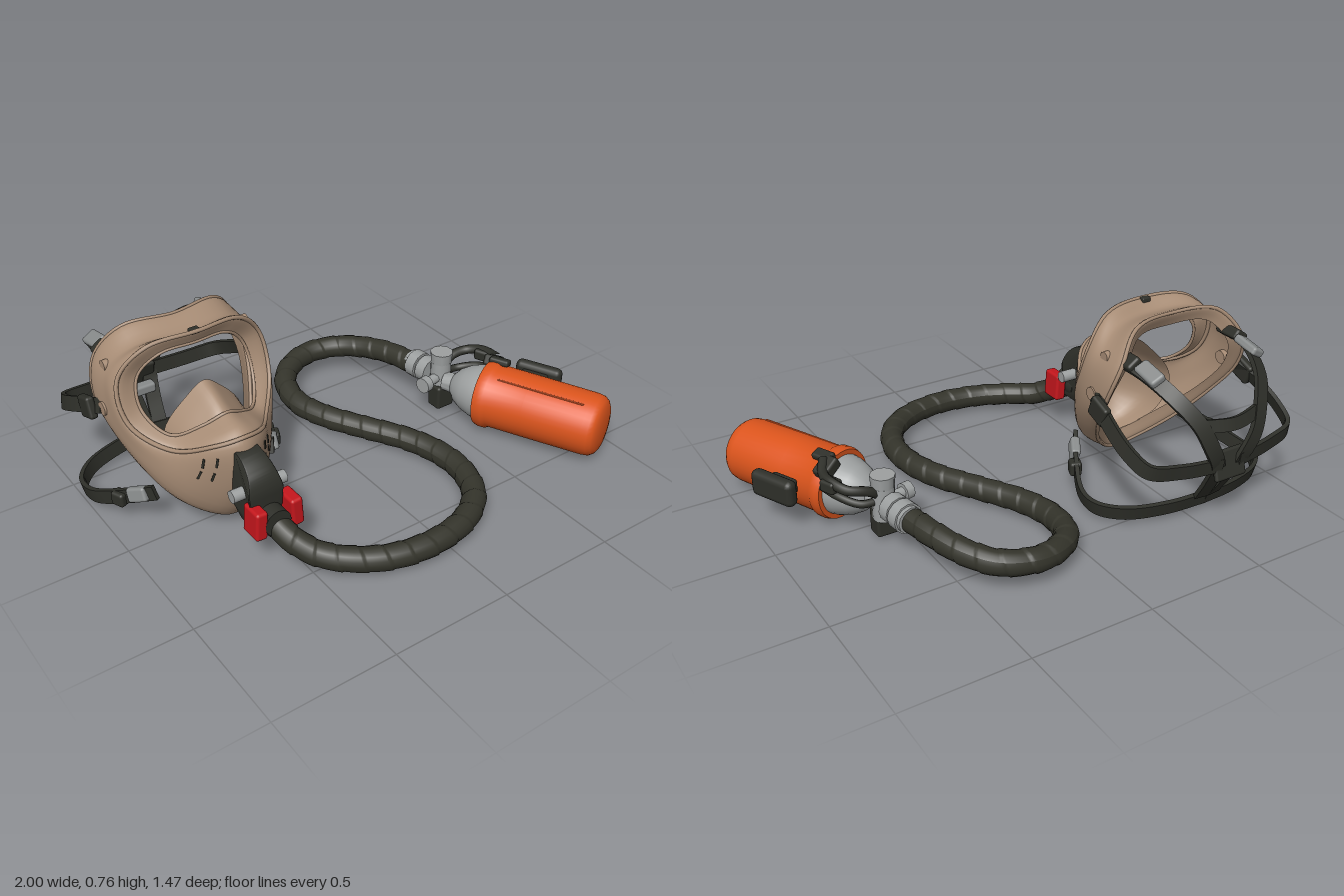
import * as THREE from 'three';
import { toCreasedNormals } from 'three/addons/utils/BufferGeometryUtils.js';
import { RoundedBoxGeometry } from 'three/addons/geometries/RoundedBoxGeometry.js';

const V = (x, y, z) => new THREE.Vector3(x, y, z);
const mat = (name, color, side = THREE.FrontSide) => {
  const m = new THREE.MeshStandardMaterial({ color, side });
  m.name = name;
  return m;
};

export function createModel() {
  const tan = mat('tan rubber', 0xa78c75, THREE.DoubleSide);
  const dark = mat('black plastic', 0x2e2f29);
  const hoseMat = mat('olive black hose', 0x34342b);
  const grey = mat('grey metal', 0x9da0a0);
  const clipGrey = mat('dark grey clip', 0x888b8b);
  const red = mat('red plastic', 0xc4161c);
  const orange = mat('orange bottle', 0xdb541c, THREE.DoubleSide);

  const model = new THREE.Group();
  const add = (parent, name, geo, material, x = 0, y = 0, z = 0) => {
    const m = new THREE.Mesh(geo, material);
    m.name = name;
    m.position.set(x, y, z);
    parent.add(m);
    return m;
  };
  const box = (w, h, d, r = 0.012) => new RoundedBoxGeometry(w, h, d, 2, r);
  const tube = (pts, r) => new THREE.TubeGeometry(new THREE.CatmullRomCurve3(pts), 40, r, 8);
  const cylX = (r, l, n = 16) => new THREE.CylinderGeometry(r, r, l, n).rotateZ(Math.PI / 2);
  const cylZ = (r, l, n = 16) => new THREE.CylinderGeometry(r, r, l, n).rotateX(Math.PI / 2);

  // Closed loop from half a contour listed from top to bottom
  const mirrorLoop = half => {
    const pts = half.map(p => V(...p));
    const other = half.slice(1, -1).reverse().map(p => V(-p[0], p[1], p[2]));
    return new THREE.CatmullRomCurve3([...pts, ...other], true);
  };

  // Smooth skin through a series of loops
  const loft = (halves, nu, nv) => {
    const loops = halves.map(mirrorLoop);
    const at = (u, v) => new THREE.CatmullRomCurve3(loops.map(l => l.getPoint(v))).getPoint(u);
    const pos = [], idx = [];
    for (let j = 0; j < nv; j++) {
      const across = new THREE.CatmullRomCurve3(loops.map(l => l.getPoint(j / nv)));
      for (let i = 0; i <= nu; i++) pos.push(...across.getPoint(i / nu).toArray());
    }
    const w = nu + 1;
    for (let j = 0; j < nv; j++) for (let i = 0; i < nu; i++) {
      const a = j * w + i, b = ((j + 1) % nv) * w + i;
      idx.push(a, a + 1, b, a + 1, b + 1, b);
    }
    const geo = new THREE.BufferGeometry();
    geo.setAttribute('position', new THREE.Float32BufferAttribute(pos, 3));
    geo.setIndex(idx);
    geo.computeVertexNormals();
    return { geo, at, loops };
  };

  // Flat webbing that wraps around the head centre
  const strap = (pts, width, centre = V(0, 0.33, -0.35), thick = 0.018) => {
    const curve = new THREE.CatmullRomCurve3(pts.map(p => V(...p)));
    const n = 36, pos = [], idx = [];
    for (let i = 0; i <= n; i++) {
      const p = curve.getPoint(i / n), t = curve.getTangent(i / n);
      const out = p.clone().sub(centre);
      out.addScaledVector(t, -out.dot(t)).normalize();
      const side = t.clone().cross(out);
      for (const [a, b] of [[-1, -1], [1, -1], [1, 1], [-1, 1]])
        pos.push(...p.clone().addScaledVector(side, a * width / 2).addScaledVector(out, b * thick / 2).toArray());
      if (i < n) for (let k = 0; k < 4; k++) {
        const a = i * 4 + k, b = i * 4 + (k + 1) % 4;
        idx.push(a, a + 4, b, b, a + 4, b + 4);
      }
    }
    const e = n * 4;
    idx.push(0, 1, 2, 0, 2, 3, e, e + 2, e + 1, e, e + 3, e + 2);
    const geo = new THREE.BufferGeometry();
    geo.setAttribute('position', new THREE.Float32BufferAttribute(pos, 3));
    geo.setIndex(idx);
    return toCreasedNormals(geo, 0.7);
  };

  // ---- Face mask: seal lip, rear edge, two bulges, visor rim, visor opening
  const mask = new THREE.Group();
  mask.name = 'mask';
  mask.position.x = -0.58;
  model.add(mask);
  const shell = loft([
    [[0, .69, -.29], [.17, .69, -.33], [.25, .6, -.37], [.28, .48, -.33], [.24, .34, -.23], [.14, .2, -.1], [0, .09, .0]],
    [[0, .75, -.31], [.2, .74, -.35], [.3, .62, -.4], [.33, .48, -.36], [.29, .33, -.26], [.18, .15, -.12], [0, .02, .0]],
    [[0, .72, -.2], [.2, .71, -.24], [.31, .62, -.28], [.335, .46, -.22], [.285, .29, -.1], [.165, .12, .02], [0, .05, .09]],
    [[0, .752, -.145], [.2, .735, -.18], [.315, .62, -.22], [.32, .46, -.14], [.225, .32, .0], [.11, .3, .14], [0, .28, .2]],
    [[0, .755, -.13], [.2, .735, -.16], [.305, .62, -.19], [.305, .46, -.13], [.205, .38, .0], [.09, .44, .15], [0, .465, .19]],
    [[0, .7, -.15], [.14, .69, -.165], [.225, .61, -.19], [.24, .49, -.15], [.18, .41, -.05], [.08, .46, .03], [0, .5, .06]],
  ], 25, 72);
  add(mask, 'maskShell', shell.geo, tan);
  const bead = (loop, r, name) => add(mask, name, new THREE.TubeGeometry(loop, 96, r, 6, true), tan);
  bead(shell.loops[1], 0.008, 'sealBead');
  bead(shell.loops[4], 0.009, 'visorFrameBead');
  bead(shell.loops[5], 0.007, 'visorInnerBead');
  add(mask, 'browClip', box(.04, .02, .03, .005), dark, 0, .752, -.145);

  // Inner nose cup
  const cup = loft([
    [[0, .56, -.1], [.07, .51, -.11], [.17, .37, -.13], [.14, .2, -.09], [0, .1, -.01]],
    [[0, .53, -.02], [.06, .48, -.01], [.15, .36, -.02], [.13, .2, .02], [0, .11, .05]],
    [[0, .48, .06], [.05, .44, .07], [.1, .34, .07], [.08, .22, .09], [0, .16, .09]],
    [[0, .36, .12], [.02, .34, .12], [.03, .3, .13], [.02, .26, .13], [0, .25, .13]],
  ], 12, 40);
  add(mask, 'noseCup', cup.geo, tan);

  for (const s of [-1, 1]) {
    // Vent slots lying on the cheek
    for (const v of [.39, .415]) for (const u of [.6, .69]) {
      const p = shell.at(u, v);
      const y = shell.at(u + .01, v).sub(p), x = shell.at(u, v + .005).sub(p);
      for (const q of [p, x, y]) q.x *= s;
      y.normalize();
      x.addScaledVector(y, -x.dot(y)).normalize();
      const slot = add(mask, 'ventSlot', new THREE.BoxGeometry(.009, .04, .008), dark);
      slot.quaternion.setFromRotationMatrix(new THREE.Matrix4().makeBasis(x, y, x.clone().cross(y)));
      slot.position.copy(p);
    }
    // Strap bosses
    add(mask, 'strapBoss', cylX(.028, .03), tan, s * .33, .47, -.27);
    add(mask, 'strapBoss', cylX(.022, .04), tan, s * .29, .63, -.3);

    // Harness
    const web = (name, pts, w, c) => add(mask, name, strap(pts.map(p => [p[0] * s, p[1], p[2]]), w, c), dark);
    web('topStrap', [[.27, .635, -.31], [.25, .62, -.48], [.21, .56, -.61], [.15, .47, -.69], [.11, .38, -.72], [.06, .28, -.71], [.04, .18, -.66], [.03, .08, -.6]], .062, V(0, .2, -.35));
    web('sideStrap', [[.335, .47, -.29], [.37, .42, -.42], [.375, .35, -.57], [.345, .31, -.655], [.22, .29, -.69], [.04, .28, -.715]], .06);
    web('lowerStrap', [[0, .06, -.59], [.17, .055, -.57], [.33, .05, -.51], [.405, .05, -.42], [.405, .06, -.32], [.345, .11, -.19], [.26, .17, -.06]], .06, V(0, .14, -.3));
    add(mask, 'sideBuckle', box(.035, .09, .1), dark, s * .365, .44, -.36).rotation.x = -.35;
    add(mask, 'topClip', box(.065, .035, .12), clipGrey, s * .245, .625, -.5).rotation.set(-.2, 0, -s * .5);
    add(mask, 'topBuckle', box(.065, .045, .12), dark, s * .262, .635, -.38).rotation.z = -s * .6;
    add(mask, 'chinClip', box(.04, .06, .09), clipGrey, s * .305, .145, -.12).rotation.set(-.4, s * -.5, 0);
    add(mask, 'chinBuckle', box(.05, .06, .06), dark, s * .35, .105, -.19).rotation.y = s * -.4;
  }
  add(mask, 'rearCrossStrap', strap([[-.15, .46, -.69], [0, .45, -.72], [.15, .46, -.69]], .05), dark);
  add(mask, 'rearHub', box(.15, .12, .022), dark, 0, .27, -.705).rotation.x = .3;
  add(mask, 'rearPatch', box(.1, .045, .05), clipGrey, 0, .23, -.66);

  // ---- Breathing valve on the front of the mask, domed in profile
  const valve = new THREE.Group();
  valve.name = 'breathingValve';
  mask.add(valve);
  const profile = new THREE.Shape();
  profile.moveTo(.18, .2).lineTo(.24, .15).lineTo(.32, .15).lineTo(.322, .28);
  profile.absarc(.19, .28, .132, 0, Math.PI / 2, false);
  const body = new THREE.ExtrudeGeometry(profile, { depth: .13, bevelSize: .006, bevelThickness: .01, bevelSegments: 2, curveSegments: 10 })
    .rotateY(-Math.PI / 2).translate(.065, 0, 0);
  const bp = body.attributes.position;
  for (let i = 0; i < bp.count; i++) {
    const y = bp.getY(i), taper = y > .3 ? 1 - (y - .3) * 3 : 1 - (.3 - y) * 1.3;
    bp.setX(i, bp.getX(i) * taper);
  }
  add(valve, 'valveBody', toCreasedNormals(body, .6), dark);
  add(valve, 'hoseSocket', cylZ(.055, .13), dark, .01, .19, .32);
  add(valve, 'valvePin', cylX(.025, .23), grey, .01, .275, .25);
  for (const s of [-1, 1]) add(valve, 'redLever', box(.05, .12, .1), red, .02 + s * .077, .2, .335).rotation.z = s * .06;

  // ---- Wrapped hose: a helical step in the radius
  const path = new THREE.CatmullRomCurve3([
    [-.57, .18, .33], [-.54, .13, .42], [-.48, .085, .5], [-.38, .07, .59], [-.25, .065, .655], [-.08, .065, .68], [.1, .065, .645],
    [.23, .065, .55], [.295, .065, .4], [.295, .065, .25], [.25, .065, .1], [.15, .065, -.08], [.06, .067, -.25], [.025, .07, -.4],
    [.06, .085, -.55], [.15, .1, -.635], [.27, .11, -.665], [.4, .12, -.62], [.48, .135, -.52], [.53, .15, -.39], [.56, .155, -.24],
  ].map(p => V(...p)));
  const hose = new THREE.TubeGeometry(path, 420, .047, 16);
  const hp = hose.attributes.position, hn = hose.attributes.normal;
  for (let i = 0; i < hp.count; i++) {
    const ring = Math.floor(i / 17), k = (i % 17) / 16;
    const step = (ring / 420 * 34 + k) % 1 * .004;
    hp.setXYZ(i, hp.getX(i) + hn.getX(i) * step, hp.getY(i) + hn.getY(i) * step, hp.getZ(i) + hn.getZ(i) * step);
  }
  hose.computeVertexNormals();
  add(model, 'hose', hose, hoseMat);

  // ---- Air bottle, lying down with its base towards local +z
  const bottle = new THREE.Group();
  bottle.name = 'airBottle';
  bottle.position.set(.67, .15, .13);
  bottle.rotation.y = .427;
  model.add(bottle);
  const lathe = pts => toCreasedNormals(new THREE.LatheGeometry(pts.map(p => new THREE.Vector2(...p)), 36).rotateX(Math.PI / 2), .6);
  add(bottle, 'bottleSleeve', lathe([[.12, -.02], [.142, -.02], [.148, 0], [.147, .025], [.138, .04], [.137, .2], [.134, .46],
    [.13, .487], [.118, .505], [.1, .515], [.06, .522], [0, .524]]), orange);
  add(bottle, 'bottleShoulder', lathe([[0, -.21], [.04, -.21], [.045, -.165], [.075, -.14], [.1, -.1], [.118, -.05], [.125, 0], [.125, .03]]), grey);
  add(bottle, 'sleeveSeam', box(.008, .008, .38, .003), orange, -.06, .122, .25);
  add(bottle, 'sidePad', box(.055, .11, .21, .025), dark, .205, .03, .147);
  add(bottle, 'padBand', box(.045, .06, .12), dark, .165, .03, .14);
  add(bottle, 'collarBuckle', box(.09, .05, .07), dark, .085, .115, -.02).rotation.z = -.5;
  add(bottle, 'topTab', box(.05, .03, .09), dark, .055, .14, .02).rotation.z = -.3;

  // ---- Bottle valve and fittings
  const fitting = new THREE.Group();
  fitting.name = 'bottleValve';
  model.add(fitting);
  add(fitting, 'valveStem', new THREE.CylinderGeometry(.045, .045, .14, 16), grey, .59, .16, -.1);
  add(fitting, 'topKnob', new THREE.CylinderGeometry(.05, .046, .05, 10), grey, .59, .253, -.1);
  const arm = add(fitting, 'sideArm', cylX(.022, .12), grey, .53, .16, -.085);
  const knob = add(fitting, 'sideKnob', cylX(.036, .035, 10), grey, .482, .16, -.075);
  arm.rotation.y = knob.rotation.y = .2;
  [[.06, .05, -.17], [.05, .03, -.2], [.062, .05, -.23], [.054, .02, -.262]].forEach(([r, l, z]) => {
    add(fitting, 'hoseCoupling', cylZ(r, l, 12), grey, .575 + (z + .17) * .12, .157, z).rotation.y = .13;
  });
  add(fitting, 'gauge', box(.09, .11, .075), dark, .585, .07, -.085);
  add(fitting, 'pressureLine', tube([V(.6, .19, -.1), V(.66, .23, -.11), V(.73, .245, -.09), V(.765, .26, -.03), V(.77, .265, .04), V(.74, .29, .1)], .02), dark);
  add(fitting, 'lowerLine', tube([V(.6, .17, -.1), V(.68, .17, -.09), V(.74, .19, -.03), V(.77, .2, .06)], .016), dark);
  add(fitting, 'lineClip', box(.06, .05, .07), dark, .765, .245, -.02).rotation.y = .4;

  return model;
}
